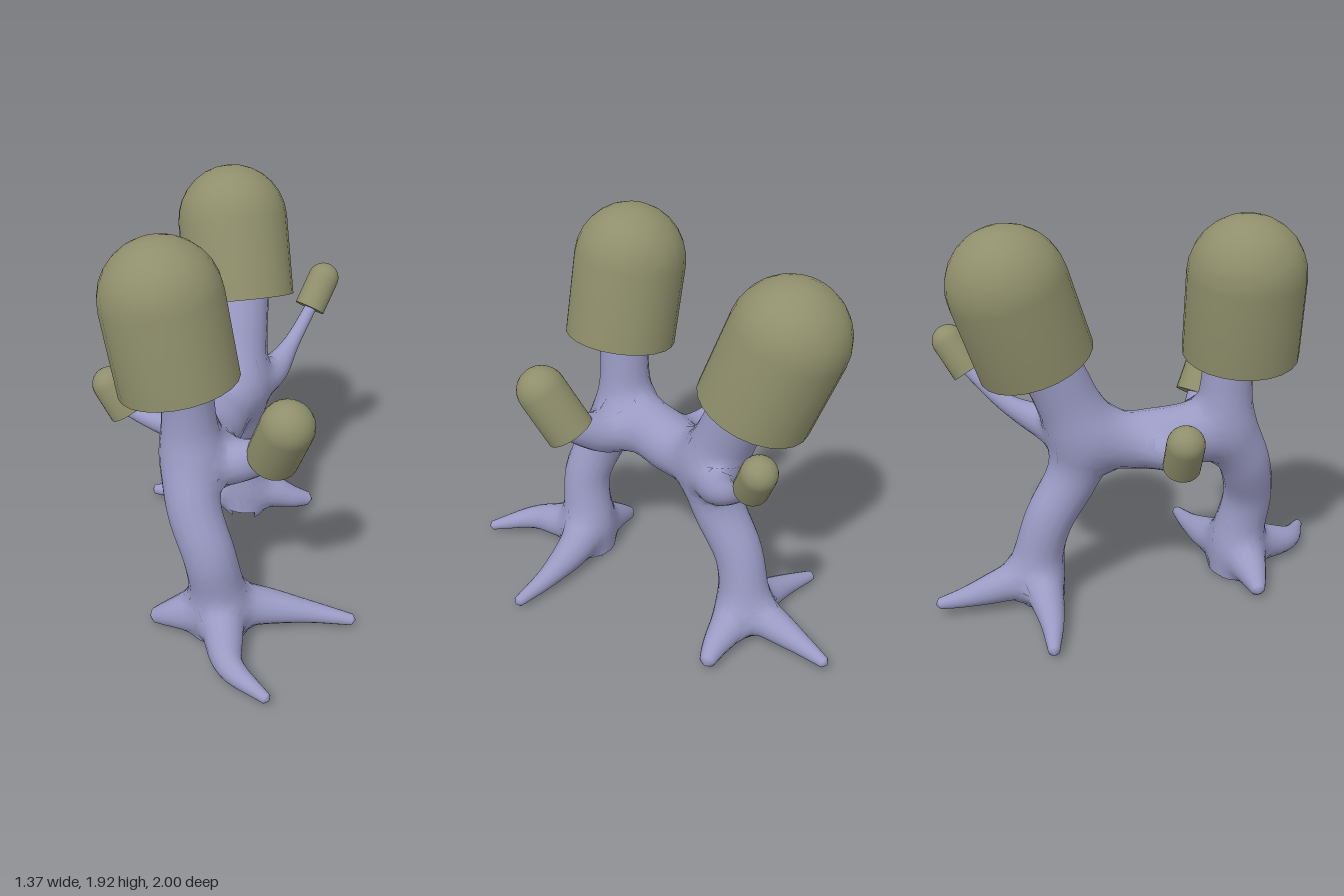
import * as THREE from 'three';
import { toCreasedNormals } from 'three/addons/utils/BufferGeometryUtils.js';

const bark = new THREE.MeshStandardMaterial({ color: 0x9a9ac4 });
const foliage = new THREE.MeshStandardMaterial({ color: 0x8f8f6c });
const SIDES = 16, STEPS = 5, BLEND = 0.03, REACH = 0.1;

// Limb centre lines as [x, y, z, radius]
const limbs = {
  // Trunks and the bridge joining them
  frontTrunk: [[0.06, 0.01, 0.53, 0.125], [0.06, 0.2, 0.54, 0.125], [0.03, 0.45, 0.58, 0.122],
    [-0.06, 0.68, 0.53, 0.125], [-0.1, 0.9, 0.43, 0.135], [-0.11, 1.1, 0.42, 0.122], [-0.115, 1.33, 0.44, 0.118]],
  backTrunk: [[-0.1, 0.03, -0.47, 0.1], [-0.1, 0.2, -0.5, 0.115], [-0.11, 0.45, -0.44, 0.118],
    [-0.085, 0.68, -0.31, 0.128], [-0.09, 0.88, -0.27, 0.15], [-0.1, 1.08, -0.345, 0.145], [-0.12, 1.34, -0.46, 0.143]],
  bridge: [[-0.1, 0.87, 0.4, 0.12], [-0.1, 0.86, 0.28, 0.14], [-0.1, 0.84, 0.08, 0.135],
    [-0.1, 0.84, -0.06, 0.135], [-0.1, 0.87, -0.2, 0.14], [-0.1, 0.9, -0.27, 0.12]],
  // Front foot roots
  frontLeftRoot: [[0.08, 0.16, 0.53, 0.08], [0.23, 0.115, 0.45, 0.09], [0.45, 0.075, 0.385, 0.055], [0.665, 0.045, 0.35, 0.027]],
  frontForwardRoot: [[0.07, 0.16, 0.56, 0.08], [0.13, 0.11, 0.7, 0.09], [0.21, 0.075, 0.86, 0.062], [0.41, 0.045, 0.98, 0.024]],
  frontRightRoot: [[0.05, 0.16, 0.54, 0.08], [-0.06, 0.11, 0.565, 0.09], [-0.15, 0.08, 0.575, 0.068], [-0.25, 0.045, 0.58, 0.034]],
  // Back foot roots
  backRightRoot: [[-0.12, 0.16, -0.49, 0.08], [-0.27, 0.11, -0.47, 0.08], [-0.44, 0.075, -0.46, 0.055], [-0.62, 0.045, -0.47, 0.027]],
  backRearRoot: [[-0.11, 0.17, -0.52, 0.08], [-0.14, 0.13, -0.68, 0.08], [-0.165, 0.095, -0.85, 0.05], [-0.175, 0.075, -0.98, 0.027]],
  backLeftRoot: [[-0.08, 0.16, -0.49, 0.08], [0.03, 0.12, -0.53, 0.085], [0.14, 0.08, -0.56, 0.062], [0.23, 0.055, -0.6, 0.037]],
  // Side branches
  rightBranch: [[-0.1, 0.84, 0.08, 0.1], [-0.24, 0.82, 0.1, 0.078], [-0.4, 0.85, 0.12, 0.046], [-0.54, 0.9, 0.125, 0.03]],
  frontLeftBranch: [[-0.05, 0.83, 0.34, 0.11], [0.07, 0.83, 0.35, 0.105], [0.19, 0.88, 0.37, 0.086], [0.3, 0.95, 0.4, 0.065]],
  backLeftBranch: [[-0.05, 0.89, -0.3, 0.1], [0.05, 0.9, -0.44, 0.08], [0.11, 0.99, -0.62, 0.042], [0.18, 1.15, -0.79, 0.03]],
};

// Sample a limb into rings of centre, direction and radius
function sample(pts) {
  const path = new THREE.CatmullRomCurve3(pts.map(p => new THREE.Vector3(p[0], p[1], p[2])), false, 'catmullrom');
  const radii = new THREE.CatmullRomCurve3(pts.map(p => new THREE.Vector3(p[3], 0, 0)), false, 'catmullrom');
  const n = (pts.length - 1) * STEPS;
  return Array.from({ length: n + 1 }, (_, i) => ({
    c: path.getPoint(i / n), dir: path.getTangent(i / n), r: radii.getPoint(i / n).x,
  }));
}

// Distance from p to one limb, treated as a chain of tapered segments
const ab = new THREE.Vector3(), ap = new THREE.Vector3();
function limbDistance(p, rings) {
  let best = Infinity;
  for (let i = 1; i < rings.length; i++) {
    const a = rings[i - 1], b = rings[i];
    ab.subVectors(b.c, a.c);
    ap.subVectors(p, a.c);
    const t = THREE.MathUtils.clamp(ap.dot(ab) / ab.lengthSq(), 0, 1);
    best = Math.min(best, ap.addScaledVector(ab, -t).length() - a.r - (b.r - a.r) * t);
  }
  return best;
}

// Smooth union of all limbs: negative inside the wood
function woodDistance(p, all) {
  let sum = 0;
  for (const rings of all) sum += Math.exp(-limbDistance(p, rings) / BLEND);
  return -BLEND * Math.log(sum);
}

// Sweep a limb, pushing its skin outward to the blended surface so joints get soft fillets
function limb(name, rings, all) {
  const pos = [], normals = [], index = [], count = rings.length - 1;
  const ref = new THREE.Vector3(0.31, 0.2, 0.93), side = new THREE.Vector3(), out = new THREE.Vector3();
  const addVertex = v => {
    v.y = Math.max(v.y, 0.005);
    const g = ['x', 'y', 'z'].map(k => {
      const q = v.clone();
      q[k] += 0.01;
      const ahead = woodDistance(q, all);
      q[k] -= 0.02;
      return ahead - woodDistance(q, all);
    });
    pos.push(v.x, v.y, v.z);
    normals.push(...new THREE.Vector3(...g).normalize().toArray());
  };
  for (const { c, dir, r } of rings) {
    ref.addScaledVector(dir, -ref.dot(dir)).normalize();
    side.crossVectors(dir, ref);
    for (let j = 0; j < SIDES; j++) {
      const a = (j / SIDES) * Math.PI * 2;
      out.copy(ref).multiplyScalar(Math.cos(a)).addScaledVector(side, Math.sin(a));
      const v = c.clone().addScaledVector(out, r);
      let push = 0, d = -1;
      for (let k = 0; k < 14 && d < -0.001 && push < REACH; k++) {
        d = Math.min(woodDistance(v, all), 0);
        push -= d;
        v.addScaledVector(out, -d);
      }
      // Skin buried deep in another limb stays where it was
      if (push >= REACH) v.copy(c).addScaledVector(out, r);
      addVertex(v);
    }
  }
  const end = rings[count], pole = (count + 1) * SIDES;
  addVertex(rings[0].c.clone());
  addVertex(end.c.clone().addScaledVector(end.dir, end.r * 0.7));
  for (let j = 0; j < SIDES; j++) {
    const k = (j + 1) % SIDES;
    for (let i = 0; i < count; i++) {
      const a = i * SIDES + j, b = i * SIDES + k;
      index.push(a, b, b + SIDES, a, b + SIDES, a + SIDES);
    }
    index.push(pole, k, j, pole + 1, count * SIDES + j, count * SIDES + k);
  }
  const geo = new THREE.BufferGeometry();
  geo.setAttribute('position', new THREE.Float32BufferAttribute(pos, 3));
  geo.setAttribute('normal', new THREE.Float32BufferAttribute(normals, 3));
  geo.setIndex(index);
  const mesh = new THREE.Mesh(geo, bark);
  mesh.name = name;
  return mesh;
}

// Domed foliage cap: flat base at "base", straight wall up to "shoulder", then a hemisphere
function cap(name, base, shoulder, r) {
  const from = new THREE.Vector3(...base), axis = new THREE.Vector3(...shoulder).sub(from);
  const h = axis.length();
  const profile = [new THREE.Vector2(0, 0), new THREE.Vector2(r, 0)];
  for (let i = 0; i <= 7; i++) {
    const a = (i / 7) * Math.PI / 2;
    profile.push(new THREE.Vector2(i === 7 ? 0 : r * Math.cos(a), h + r * Math.sin(a)));
  }
  const mesh = new THREE.Mesh(toCreasedNormals(new THREE.LatheGeometry(profile, 24), 0.8), foliage);
  mesh.position.copy(from);
  mesh.quaternion.setFromUnitVectors(new THREE.Vector3(0, 1, 0), axis.normalize());
  mesh.name = name;
  return mesh;
}

export function createModel() {
  const model = new THREE.Group();
  model.name = 'twinTrunkTree';

  const all = Object.values(limbs).map(sample);
  Object.keys(limbs).forEach((name, i) => model.add(limb(name, all[i], all)));

  // Foliage caps
  model.add(
    cap('frontFoliage', [-0.13, 1.26, 0.475], [-0.2, 1.65, 0.475], 0.272),
    cap('backFoliage', [-0.13, 1.275, -0.475], [-0.2, 1.64, -0.592], 0.272),
    cap('rightBranchFoliage', [-0.523, 0.875, 0.125], [-0.606, 1.015, 0.125], 0.085),
    cap('frontLeftBranchFoliage', [0.27, 0.9, 0.375], [0.357, 1.12, 0.475], 0.123),
    cap('backLeftBranchFoliage', [0.167, 1.13, -0.775], [0.217, 1.27, -0.862], 0.08)
  );
  return model;
}
